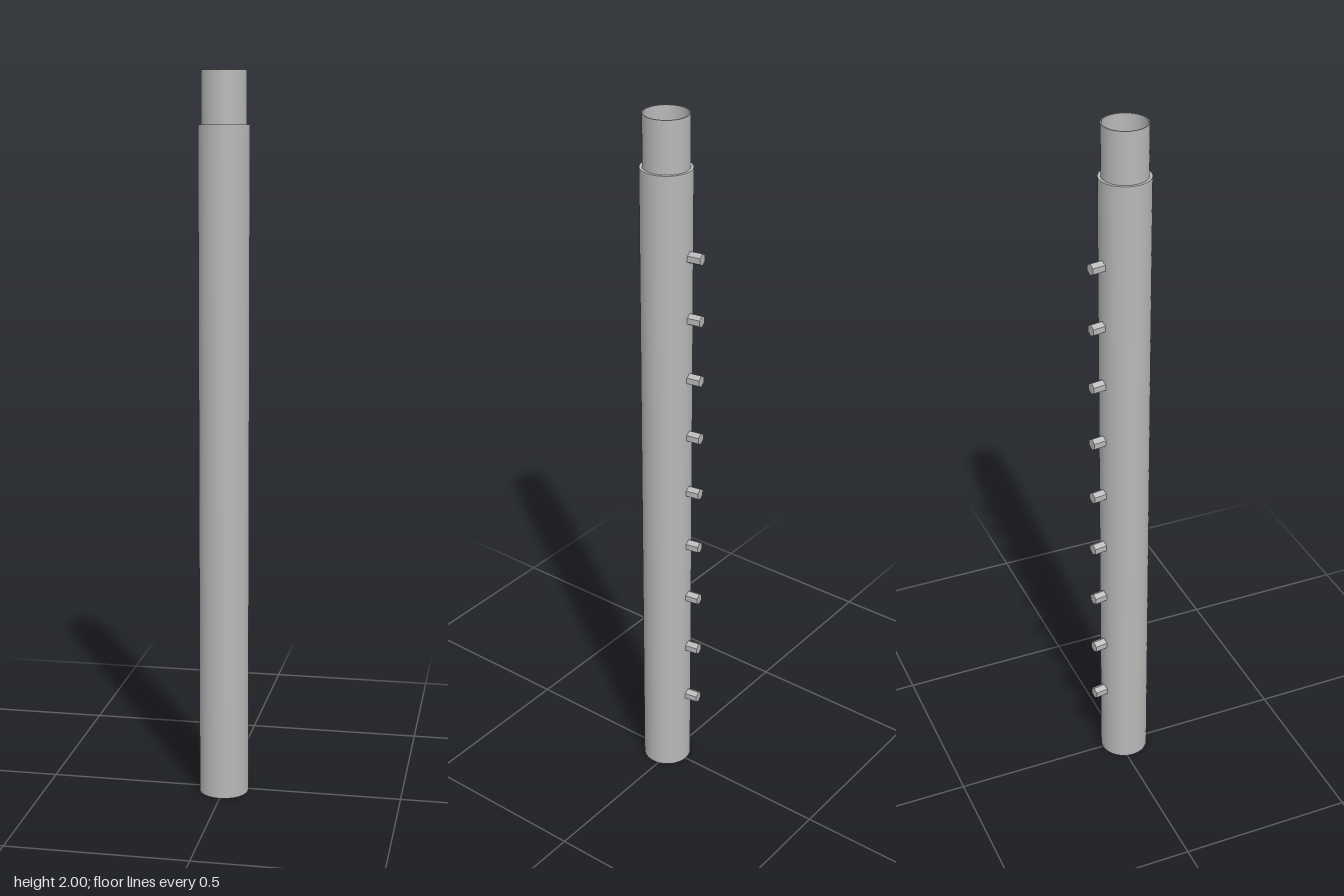
import * as THREE from 'three';

export function createModel() {
  const group = new THREE.Group();
  const metal = new THREE.MeshStandardMaterial({ color: 0xb8b8b8 });
  metal.name = 'grey metal';
  const centreZ = 0.017;

  // Each profile segment is its own lathe, so the rims stay sharp.
  const ring = (name, r1, y1, r2, y2) => {
    const points = [new THREE.Vector2(r1, y1), new THREE.Vector2(r2, y2)];
    const mesh = new THREE.Mesh(new THREE.LatheGeometry(points, 48), metal);
    mesh.name = name;
    mesh.position.z = centreZ;
    group.add(mesh);
  };

  // Hollow pole with a narrower neck: up the outside, down the inside
  const outer = 0.069, neck = 0.061, bore = 0.058, neckY = 1.86, sleeveY = 1.72;
  ring('poleOuterWall', outer, 0, outer, neckY);
  ring('shoulder', outer, neckY, neck, neckY);
  ring('neckOuterWall', neck, neckY, neck, 2);
  ring('topRim', neck, 2, bore, 2);
  ring('neckInnerWall', bore, 2, bore, sleeveY);
  ring('sleeveEnd', bore, sleeveY, neck, sleeveY);
  ring('poleInnerWall', neck, sleeveY, neck, 0);
  ring('bottomRim', neck, 0, outer, 0);

  // Row of hexagonal pegs up the back, turned slightly to one side
  const start = 0.064, end = 0.104;
  const pegShape = new THREE.CylinderGeometry(0.0165, 0.0165, end - start, 6)
    .rotateX(-Math.PI / 2)
    .translate(0, 0, -(start + end) / 2)
    .rotateY(0.165)
    .toNonIndexed();
  pegShape.computeVertexNormals();
  for (let i = 0; i < 9; i++) {
    const peg = new THREE.Mesh(pegShape, metal);
    peg.name = `peg${i + 1}`;
    peg.position.set(0, 0.237 + i * 0.174, centreZ);
    group.add(peg);
  }
  return group;
}
